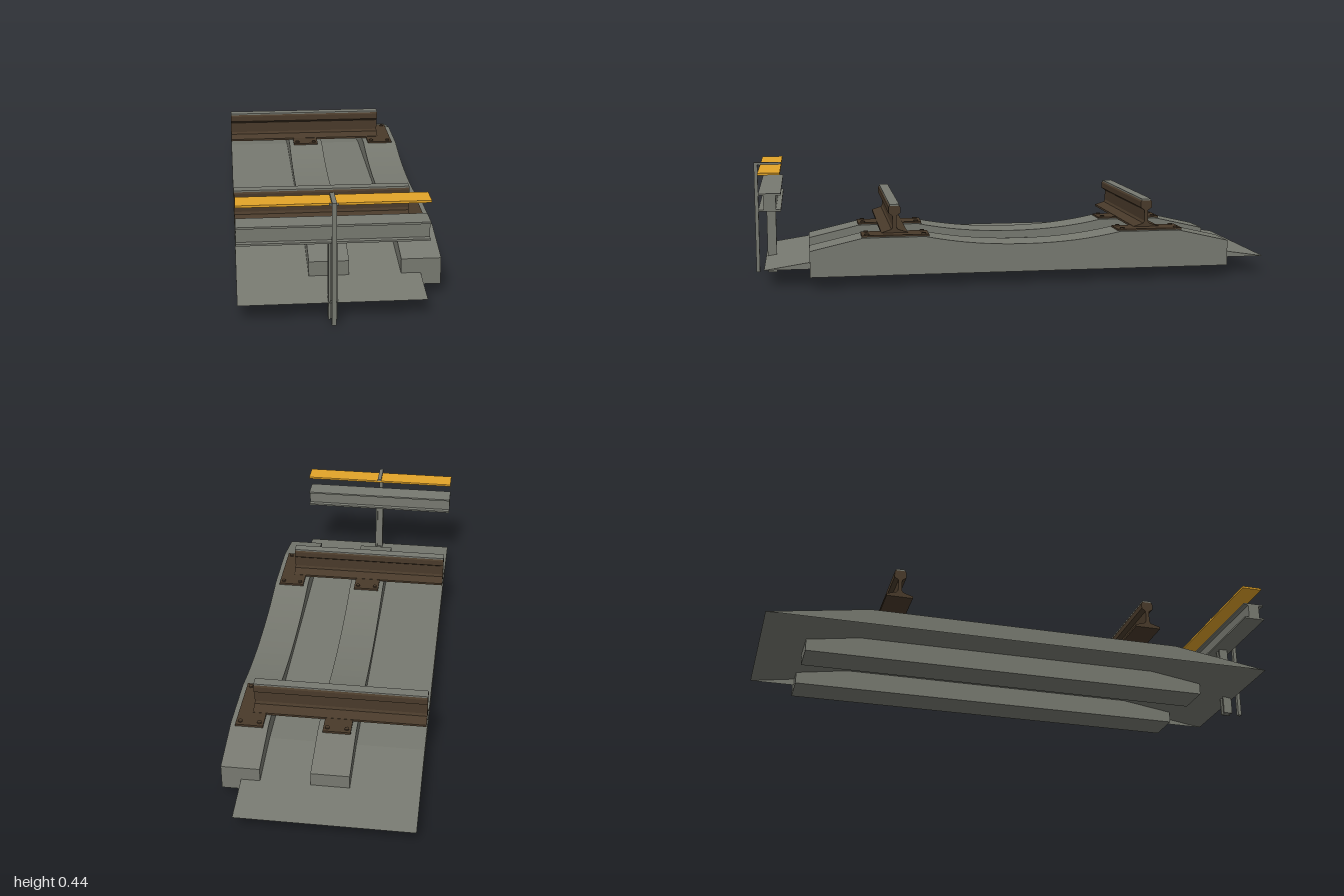
import * as THREE from 'three';

const mat = (name, color, side = THREE.FrontSide) => {
  const m = new THREE.MeshStandardMaterial({ color, side });
  m.name = name;
  return m;
};

export function createModel() {
  const group = new THREE.Group();
  group.name = 'trackSection';
  const grey = mat('concreteGrey', 0x777970, THREE.DoubleSide);
  const brown = mat('rustBrown', 0x493a2a);
  const yellow = mat('boardYellow', 0xe2a429);

  const add = (name, geo, material, parent = group) => {
    const m = new THREE.Mesh(geo, material);
    m.name = name;
    parent.add(m);
    return m;
  };
  // Box from minimum and maximum corners
  const box = (name, material, [x0, x1], [y0, y1], [z0, z1], parent) => {
    const m = add(name, new THREE.BoxGeometry(x1 - x0, y1 - y0, z1 - z0), material, parent);
    m.position.set((x0 + x1) / 2, (y0 + y1) / 2, (z0 + z1) / 2);
    return m;
  };
  const outline = (points) => new THREE.Shape(points.map(([z, y]) => new THREE.Vector2(z, y)));
  // Profile in (z, y) swept along x
  const sweep = (name, material, points, x0, x1, parent) => {
    const geo = new THREE.ExtrudeGeometry(outline(points), { depth: x1 - x0, bevelEnabled: false });
    geo.rotateY(-Math.PI / 2).translate(x1, 0, 0);
    return add(name, geo, material, parent);
  };
  // Closed outline from its right half (z >= 0, bottom to top)
  const mirror = (half) => [...half, ...half.slice().reverse().map(([z, y]) => [-z, y])];

  const X0 = -0.361, X1 = 0.289, ZC = -0.018;

  // Ballast bed: an open-bottomed shell of a folded top and two side walls
  const bed = [[-0.98, 0.065], [-0.6, 0.123], [0.6, 0.123], [0.98, 0.065]];
  const ballast = new THREE.Group();
  ballast.name = 'ballast';
  ballast.position.z = ZC - 0.002;
  group.add(ballast);
  const sheet = new THREE.PlaneGeometry(X1 - X0, 1, 1, bed.length - 1);
  const pos = sheet.attributes.position;
  for (let i = 0; i < pos.count; i++) {
    const [z, y] = bed[Math.floor(i / 2)];
    pos.setXYZ(i, i % 2 ? X1 : X0, y, z);
  }
  const top = sheet.toNonIndexed();
  top.computeVertexNormals();
  add('ballastTop', top, grey, ballast);
  add('ballastWall', new THREE.ShapeGeometry(outline(bed)).rotateY(-Math.PI / 2).translate(X0, 0, 0), grey, ballast);
  add('ballastWall', new THREE.ShapeGeometry(outline(bed.map(([z, y]) => [-z, y])))
    .rotateY(Math.PI / 2).translate(X1, 0, 0), grey, ballast);

  // Sleepers with raised rail seats and a dished middle
  const half = [[0.808, 0.046], [0.808, 0.1445], [0.61, 0.19], [0.375, 0.19]];
  for (let i = 1; i <= 8; i++) {
    const t = 1 - i / 8.5;
    half.push([0.375 * t, 0.153 + 0.037 * Math.pow(t, 2.15)]);
  }
  for (const x of [-0.107, 0.219]) {
    sweep('sleeper', grey, mirror(half), x, x + 0.142).position.z = ZC;
  }

  // Rails with worn tops, base plates and bolts
  const railHalf = [[0.05, 0.189], [0.05, 0.197], [0.012, 0.209], [0.007, 0.218], [0.007, 0.26],
    [0.0225, 0.271], [0.0225, 0.293], [0.0185, 0.299]];
  for (const z of [0.469, -0.517]) {
    const rail = new THREE.Group();
    rail.name = 'railAssembly';
    rail.position.z = z;
    group.add(rail);
    sweep('rail', brown, mirror(railHalf), X0, X1, rail);
    box('railTop', grey, [X0, X1], [0.299, 0.305], [-0.0185, 0.0185], rail);
    for (const x of [-0.036, 0.29]) {
      box('basePlate', brown, [x - 0.052, x + 0.052], [0.188, 0.196], [-0.127, 0.127], rail);
      for (const sx of [-1, 1]) for (const sz of [-1, 1]) {
        const bolt = add('bolt', new THREE.CylinderGeometry(0.009, 0.009, 0.006, 6), brown, rail);
        bolt.position.set(x + sx * 0.036, 0.198, sz * 0.107);
      }
    }
  }

  // Power rail: I-section beam
  const beamHalf = [[0.0415, 0.288], [0.0415, 0.295], [0.023, 0.295], [0.023, 0.348],
    [0.0415, 0.348], [0.0415, 0.355]];
  sweep('powerRail', grey, mirror(beamHalf), X0, X1).position.z = 0.933;

  // Support post: two flanges joined by a thick web
  for (const x of [-0.052, -0.028]) box('postFlange', grey, [x, x + 0.008], [0, 0.288], [0.918, 0.954]);
  box('postWeb', grey, [-0.044, -0.028], [0, 0.288], [0.925, 0.947]);

  // Cover board on its bracket
  box('boardPost', grey, [-0.044, -0.028], [0, 0.44], [0.986, 1]);
  box('boardArm', grey, [-0.044, -0.028], [0.431, 0.44], [0.894, 0.988]);
  box('boardClip', grey, [-0.052, -0.02], [0.424, 0.431], [0.974, 0.979]);
  box('coverBoard', yellow, [X0, X1], [0.424, 0.432], [0.893, 0.975]);

  return group;
}
